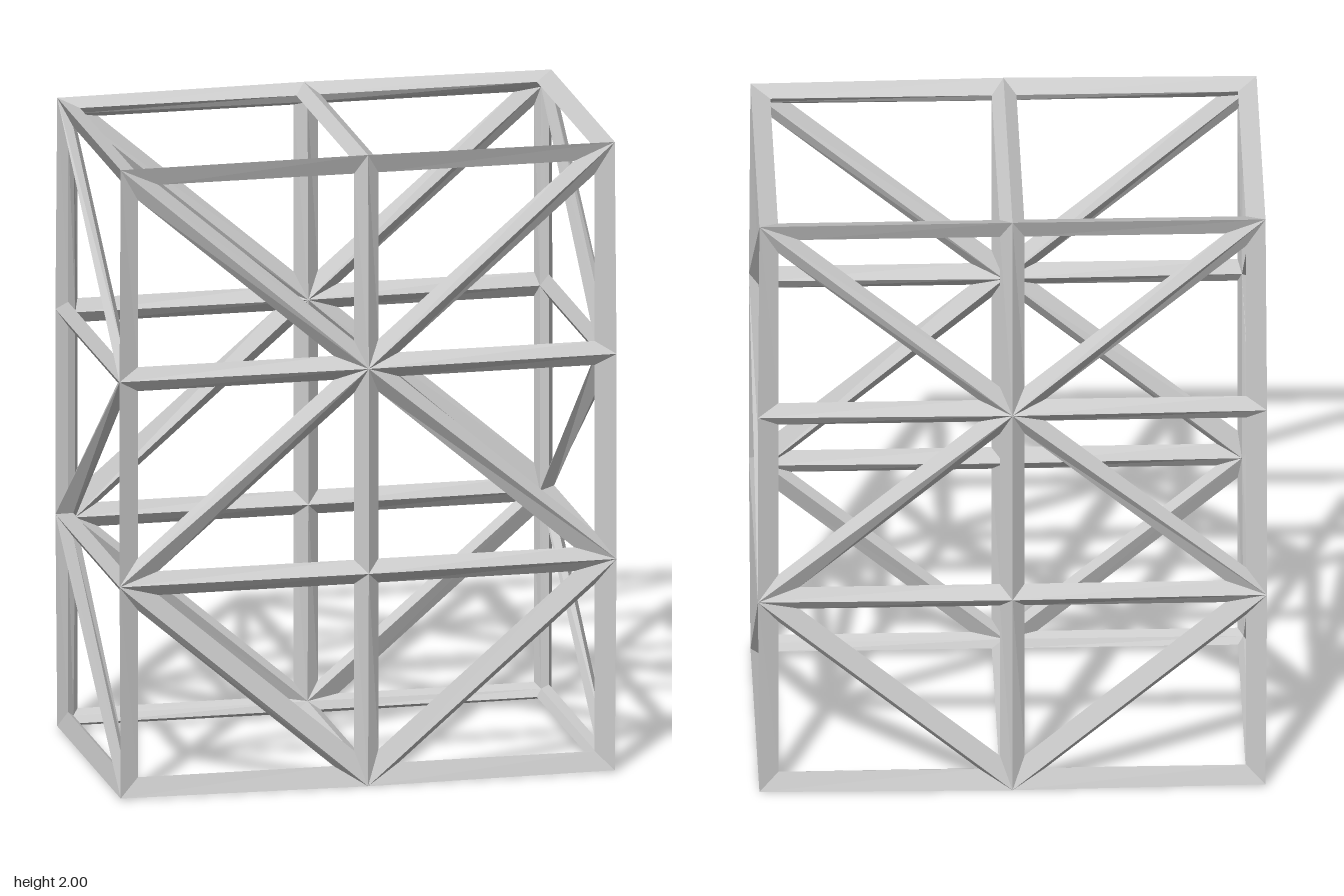
import * as THREE from 'three';

// half sizes of the bar centre lines, bar half-width in the panel, ridge height
const X = 0.755, Z = 0.424, H = 0.975, W = 0.038, RIDGE = 0.036;
const LEVELS = [-H, -H / 3, H / 3, H];

const V = (x, y, z) => new THREE.Vector3(x, y, z);

// Outward direction at a node: sum of the box sides it lies on
function outward(p) {
  const side = (v, half) => (Math.abs(v) > half - 1e-4 ? Math.sign(v) : 0);
  return V(side(p.x, X), side(p.y, H), side(p.z, Z)).normalize();
}

// Turns the outlines of openings into ridged bars around each opening
function panel(name, cells, normal, material) {
  const pos = [];
  const quad = (a, b, c, d) => [a, b, c, a, c, d].forEach((p) => pos.push(p.x, p.y + 1, p.z));
  for (const cell of cells) {
    const n = cell.length;
    const turn = cell[1].clone().sub(cell[0]).cross(cell[2].clone().sub(cell[0]));
    const pts = turn.dot(normal) < 0 ? [...cell].reverse() : cell;
    const outer = pts.map((p) => p.clone().addScaledVector(outward(p), RIDGE));
    const inner = pts.map((p) => p.clone().addScaledVector(outward(p), -RIDGE));
    // mitred inset of the opening
    const inset = pts.map((p, i) => {
      const u = pts[(i + n - 1) % n].clone().sub(p).normalize();
      const v = pts[(i + 1) % n].clone().sub(p).normalize();
      const sin = u.clone().cross(v).length();
      return p.clone().addScaledVector(u.add(v), W / sin);
    });
    for (let i = 0; i < n; i++) {
      const j = (i + 1) % n;
      quad(outer[i], outer[j], inset[j], inset[i]);
      quad(inner[j], inner[i], inset[i], inset[j]);
    }
  }
  const geometry = new THREE.BufferGeometry();
  geometry.setAttribute('position', new THREE.Float32BufferAttribute(pos, 3));
  geometry.computeVertexNormals();
  const mesh = new THREE.Mesh(geometry, material);
  mesh.name = name;
  return mesh;
}

// One braced bay: a rectangle split by a rising (a-low to b-high) or falling diagonal
function bracedBay(at, a, b, low, high, rising) {
  const p = [at(a, low), at(b, low), at(b, high), at(a, high)];
  return rising
    ? [[p[0], p[1], p[2]], [p[0], p[2], p[3]]]
    : [[p[0], p[1], p[3]], [p[1], p[2], p[3]]];
}

export function createModel() {
  const group = new THREE.Group();
  group.name = 'trussFrame';
  const material = new THREE.MeshStandardMaterial({ color: 0xcccccc, flatShading: true });

  for (const s of [1, -1]) {
    // front and back: two mirrored columns of three braced bays
    const wide = [];
    for (const m of [1, -1]) {
      for (let r = 0; r < 3; r++) {
        wide.push(...bracedBay((x, y) => V(x * m, y, s * Z), 0, X, LEVELS[r], LEVELS[r + 1], r !== 1));
      }
    }
    group.add(panel(s > 0 ? 'frontPanel' : 'backPanel', wide, V(0, 0, s), material));

    // sides: a single column with zigzag braces
    const narrow = [];
    for (let r = 0; r < 3; r++) {
      narrow.push(...bracedBay((z, y) => V(s * X, y, z), Z, -Z, LEVELS[r], LEVELS[r + 1], r !== 1));
    }
    group.add(panel(s > 0 ? 'leftPanel' : 'rightPanel', narrow, V(s, 0, 0), material));

    // top and bottom: two open rectangles with a centre bar
    const flat = [1, -1].map((m) => [V(0, s * H, Z), V(m * X, s * H, Z), V(m * X, s * H, -Z), V(0, s * H, -Z)]);
    group.add(panel(s > 0 ? 'topPanel' : 'bottomPanel', flat, V(0, s, 0), material));
  }
  return group;
}
